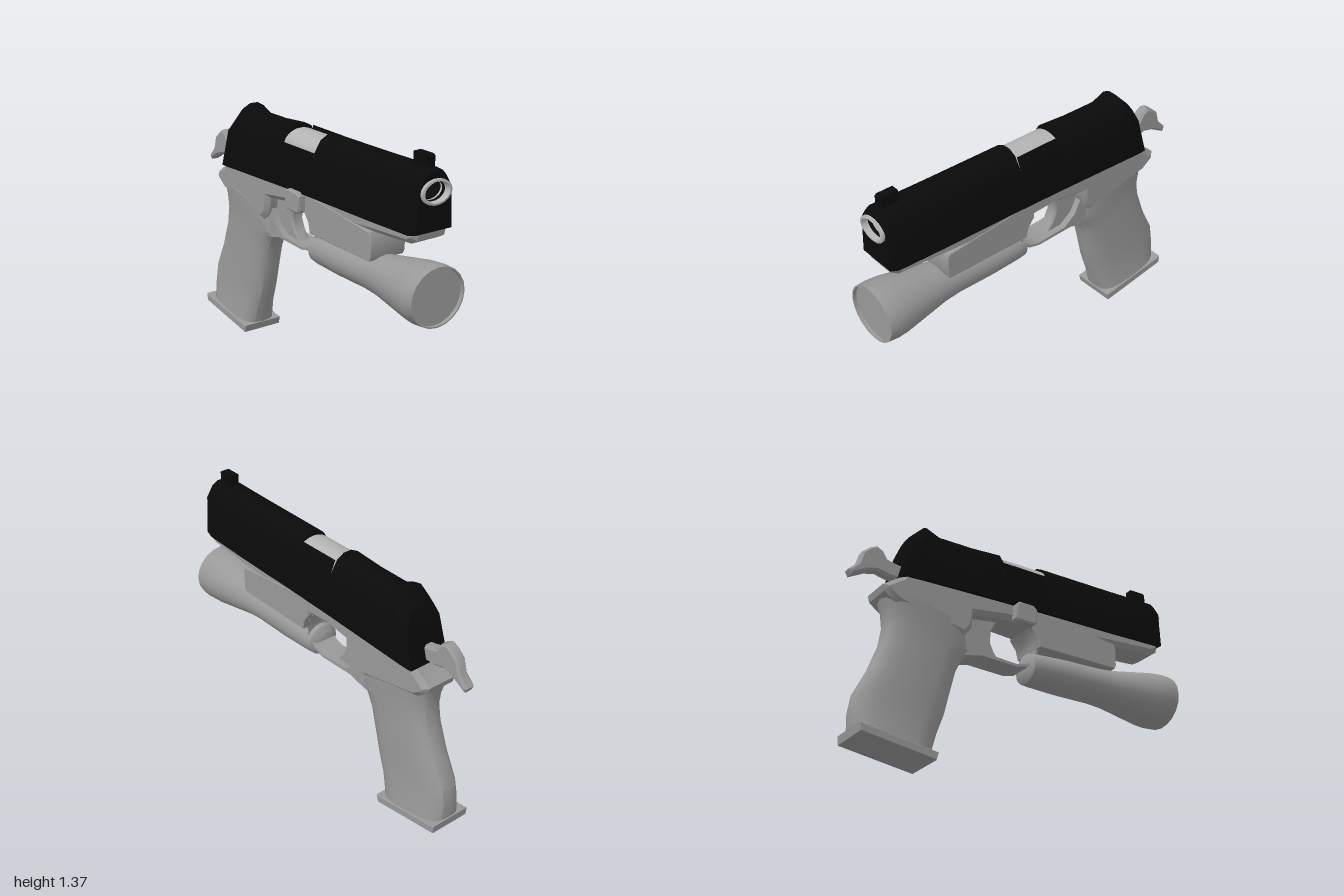
import * as THREE from 'three';
import { toCreasedNormals } from 'three/addons/utils/BufferGeometryUtils.js';

const ZC = -0.012; // slide and frame sit slightly off the centre plane
const grey = new THREE.MeshStandardMaterial({ color: 0x999999 });
const steel = new THREE.MeshStandardMaterial({ color: 0xb4b4b4 });
const black = new THREE.MeshStandardMaterial({ color: 0x0a0a0a });
const v2 = (pts) => pts.map(([x, y]) => new THREE.Vector2(x, y));

// Skin a list of rings (arrays of Vector3), with optional fan caps
function loft(rings, capStart = true, capEnd = true) {
  const n = rings[0].length, pos = [], idx = [];
  rings.forEach((r) => r.forEach((p) => pos.push(p.x, p.y, p.z)));
  for (let i = 0; i < rings.length - 1; i++) {
    for (let j = 0; j < n; j++) {
      const a = i * n + j, b = i * n + (j + 1) % n;
      idx.push(a, b, a + n, b, b + n, a + n);
    }
  }
  const cap = (i, flip) => {
    const c = new THREE.Vector3();
    rings[i].forEach((p) => c.addScaledVector(p, 1 / n));
    const k = pos.length / 3;
    pos.push(c.x, c.y, c.z);
    for (let j = 0; j < n; j++) {
      const a = i * n + j, b = i * n + (j + 1) % n;
      if (flip) idx.push(k, b, a); else idx.push(k, a, b);
    }
  };
  if (capStart) cap(0, true);
  if (capEnd) cap(rings.length - 1, false);
  const g = new THREE.BufferGeometry();
  g.setAttribute('position', new THREE.Float32BufferAttribute(pos, 3));
  g.setIndex(idx);
  return g;
}

// Side outline given in x, y, extruded evenly about z
function slab(pts, depth, bevel = 0, hole = null) {
  const shape = new THREE.Shape(v2(pts));
  if (hole) shape.holes.push(new THREE.Path(v2(hole)));
  const g = new THREE.ExtrudeGeometry(shape, {
    depth: depth - 2 * bevel, bevelEnabled: bevel > 0, bevelSegments: 1,
    bevelThickness: bevel, bevelSize: bevel, bevelOffset: -bevel,
  });
  return g.translate(0, 0, bevel - depth / 2);
}

// Turned part along +x
function turned(points, segments) {
  return new THREE.LatheGeometry(v2(points), segments).rotateZ(-Math.PI / 2);
}

export function createModel() {
  const model = new THREE.Group();
  const add = (name, geometry, material = grey, z = ZC) => {
    const m = new THREE.Mesh(toCreasedNormals(geometry, 0.6), material);
    m.name = name;
    m.position.z = z;
    model.add(m);
  };

  // Slide: sections are [x at bottom, x at top, y bottom, y top, half width]
  const full = [[-1, 0], [-0.9, 0.72], [-0.55, 0.93], [-0.2, 1], [0.2, 1], [0.55, 0.93], [0.9, 0.72], [1, 0]];
  const cut = [[-1, 0], [-0.9, 0.72], [-0.65, 0.93], [-0.6, 0.73], [-0.2, 0.73], [0.6, 0.73], [0.9, 0.73], [1, 0]];
  const ring = (profile, [xb, xt, yb, yt, w]) => profile.map(([u, v]) =>
    new THREE.Vector3(xb + (xt - xb) * v, yb + (yt - yb) * v, u * w));
  const rear = [
    [-0.735, -0.66, 0.95, 1.24, 0.118], [-0.7, -0.62, 0.952, 1.28, 0.122],
    [-0.66, -0.58, 0.954, 1.32, 0.124], [-0.6, -0.5, 0.957, 1.285, 0.124],
    [-0.3, -0.3, 0.967, 1.287, 0.122], [-0.13, -0.13, 0.973, 1.3, 0.121],
  ];
  const port = [[-0.13, -0.13, 0.973, 1.3, 0.121], [0.14, 0.14, 0.98, 1.298, 0.12]];
  const front = [
    [0.14, 0.14, 0.98, 1.298, 0.12], [0.6, 0.6, 0.987, 1.302, 0.118],
    [0.9, 0.92, 0.995, 1.308, 0.116], [0.945, 0.945, 1.007, 1.295, 0.108],
  ];
  add('slideRear', loft(rear.map((s) => ring(full, s))), black);
  add('slidePortSection', loft(port.map((s) => ring(cut, s)), false, false), black);
  add('slideFront', loft(front.map((s) => ring(full, s)), true, false), black);

  // Slide nose with an oval opening for the barrel
  const nose = new THREE.Shape(ring(full, front[3]).map((p) => new THREE.Vector2(-p.z, p.y)));
  nose.holes.push(new THREE.Path().absellipse(0, 1.2, 0.078, 0.054, 0, Math.PI * 2));
  add('slideNose', new THREE.ShapeGeometry(nose, 10).rotateY(Math.PI / 2).translate(0.945, 0, 0), black);

  // Barrel tip, dark bore, and the chamber seen through the port
  const tip = turned([[0.078, 0.85], [0.09, 0.9], [0.09, 0.96], [0.076, 0.963], [0.07, 0.9]], 18);
  add('barrelTip', tip.scale(1, 0.7, 1).translate(0, 1.2, 0), steel);
  const bore = turned([[0.071, 0.93], [0.071, 0.8], [0, 0.8]], 18);
  add('bore', bore.scale(1, 0.7, 1).translate(0, 1.2, 0), black);
  const chamber = new THREE.CylinderGeometry(1, 1, 0.27, 24).rotateZ(Math.PI / 2);
  add('chamber', chamber.scale(1, 0.077, 0.106).translate(0.005, 1.198, 0), steel);

  // Front sight
  add('frontSight', slab([[0.81, 1.28], [0.91, 1.28], [0.91, 1.36], [0.9, 1.367], [0.81, 1.367]], 0.046), black);

  // Frame under the slide, from tang to nose
  add('frame', slab([
    [-0.72, 0.98], [-0.735, 0.95], [-0.83, 0.885], [-0.82, 0.85], [-0.75, 0.8], [-0.55, 0.76], [-0.36, 0.72],
    [-0.31, 0.78], [-0.3, 0.86], [-0.1, 0.89], [0.06, 0.88], [0.6, 0.925], [0.88, 0.945],
    [0.925, 0.97], [0.935, 1.02], [0.5, 1.03], [0, 1.0],
  ], 0.21, 0.025));

  // Accessory rail block
  add('railBlock', slab([
    [0.05, 0.985], [0.05, 0.88], [0.088, 0.83], [0.1, 0.775], [0.6, 0.775], [0.612, 0.8], [0.612, 0.9], [0.6, 0.925],
  ], 0.216, 0.004));

  // Trigger guard loop and trigger
  add('triggerGuard', slab([
    [-0.36, 0.9], [-0.38, 0.62], [-0.3, 0.635], [-0.24, 0.65], [-0.02, 0.643], [0.05, 0.66],
    [0.108, 0.71], [0.112, 0.79], [0.08, 0.9],
  ], 0.14, 0, [
    [-0.31, 0.8], [-0.3, 0.86], [-0.1, 0.895], [0.04, 0.885], [0.08, 0.84], [0.1, 0.78], [0.095, 0.715],
    [0.04, 0.672], [-0.02, 0.658], [-0.2, 0.668], [-0.27, 0.72],
  ]));
  add('trigger', slab([
    [-0.32, 0.87], [-0.32, 0.78], [-0.27, 0.71], [-0.2, 0.66], [-0.1, 0.66], [-0.14, 0.71],
    [-0.162, 0.76], [-0.16, 0.82], [-0.12, 0.9],
  ], 0.07, 0.008));

  // Side catch on one side only
  add('sideCatch', slab([
    [-0.07, 0.89], [-0.055, 0.875], [0.045, 0.875], [0.06, 0.89], [0.06, 0.97], [0.04, 0.987], [-0.05, 0.987], [-0.07, 0.97],
  ], 0.06, 0.008), grey, 0.105);

  // Grip: sections are [back x, back y, front x, front y, half width]
  const grip = [
    [-0.927, 0.09, -0.516, 0.035, 0.115], [-0.935, 0.2, -0.475, 0.17, 0.097], [-0.92, 0.3, -0.435, 0.28, 0.093],
    [-0.845, 0.45, -0.402, 0.42, 0.092], [-0.79, 0.6, -0.375, 0.53, 0.092], [-0.775, 0.7, -0.34, 0.6, 0.093],
    [-0.785, 0.78, -0.3, 0.64, 0.097], [-0.815, 0.87, -0.33, 0.78, 0.105],
  ];
  const soft = (t) => Math.sign(t) * Math.abs(t) ** 0.65;
  add('grip', loft(grip.map(([bx, by, fx, fy, w]) => Array.from({ length: 20 }, (_, i) => {
    const a = (i / 20) * Math.PI * 2, t = (1 + soft(Math.cos(a))) / 2;
    return new THREE.Vector3(bx + (fx - bx) * t, by + (fy - by) * t, -soft(Math.sin(a)) * w);
  }))), grey, -0.006);
  add('gripBase', slab([[-0.935, 0.108], [-0.93, 0.063], [-0.52, 0.002], [-0.508, 0.045]], 0.24, 0.004), grey, -0.004);

  // Hammer behind the slide
  add('hammer', slab([
    [-0.68, 1.04], [-0.73, 1.045], [-0.79, 1.06], [-0.815, 1.1], [-0.85, 1.117], [-0.885, 1.1], [-0.93, 1.06], [-0.95, 0.99],
    [-1.0, 0.94], [-0.985, 0.912], [-0.9, 0.96], [-0.84, 0.975], [-0.78, 0.962], [-0.68, 0.96],
  ], 0.062, 0.012), grey, 0.003);

  // Torch slung below the rail, flaring to a recessed lens
  const torch = turned([
    [0, 0.055], [0.055, 0.055], [0.085, 0.075], [0.09, 0.12], [0.098, 0.3], [0.1, 0.52], [0.108, 0.62],
    [0.13, 0.75], [0.152, 0.88], [0.157, 0.94], [0.153, 1.0], [0.146, 1.0], [0.146, 0.98], [0, 0.98],
  ], 20);
  const p = torch.attributes.position;
  for (let i = 0; i < p.count; i++) p.setY(i, p.getY(i) + 0.675 + 0.022 * p.getX(i));
  add('torch', torch.scale(1, 1, 1.07), grey, -0.004);

  return model;
}
